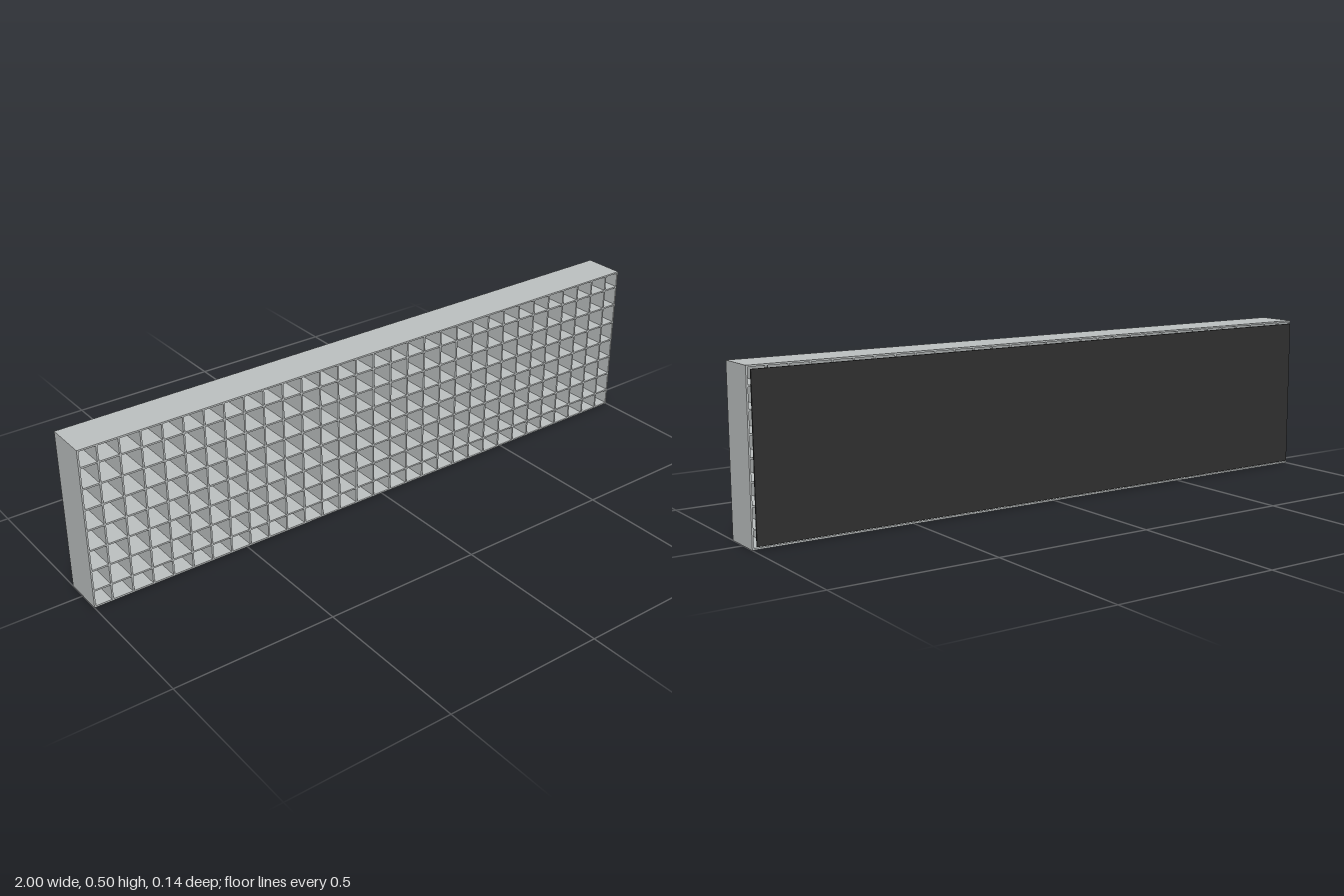
import * as THREE from 'three';

const WIDTH = 2, HEIGHT = 0.5, PITCH = 0.065, WALL = 0.005;

// Centre lines of the walls along one axis: a regular pitch closed by the outer frame
function wallCentres(count, length) {
  const lines = [-length / 2 + WALL / 2];
  for (let i = 0; i < count; i++) lines.push((i - (count - 1) / 2) * PITCH);
  lines.push(length / 2 - WALL / 2);
  return lines;
}

function rectangle(target, x0, y0, x1, y1) {
  target.moveTo(x0, y0);
  target.lineTo(x1, y0);
  target.lineTo(x1, y1);
  target.lineTo(x0, y1);
  target.closePath();
  return target;
}

export function createModel() {
  const model = new THREE.Group();
  model.name = 'louverPanel';

  const grey = new THREE.MeshStandardMaterial({ name: 'light grey', color: 0xbcc0c0 });
  const dark = new THREE.MeshStandardMaterial({ name: 'charcoal', color: 0x303030 });

  // Egg-crate grille: a frame with one through-hole per cell
  const shape = rectangle(new THREE.Shape(), -WIDTH / 2, -HEIGHT / 2, WIDTH / 2, HEIGHT / 2);
  const xs = wallCentres(30, WIDTH);
  const ys = wallCentres(7, HEIGHT);
  const h = WALL / 2;
  for (let i = 0; i < xs.length - 1; i++) {
    for (let j = 0; j < ys.length - 1; j++) {
      shape.holes.push(rectangle(new THREE.Path(), xs[i] + h, ys[j] + h, xs[i + 1] - h, ys[j + 1] - h));
    }
  }
  const grille = new THREE.Mesh(
    new THREE.ExtrudeGeometry(shape, { depth: 0.13, bevelEnabled: false }), grey);
  grille.name = 'grille';
  grille.position.set(0, HEIGHT / 2, -0.06);
  model.add(grille);

  // Thin backing sheet set just behind the grille
  const back = new THREE.Mesh(new THREE.BoxGeometry(1.98, 0.48, 0.005), dark);
  back.name = 'backPanel';
  back.position.set(0, HEIGHT / 2, -0.0675);
  model.add(back);

  return model;
}
